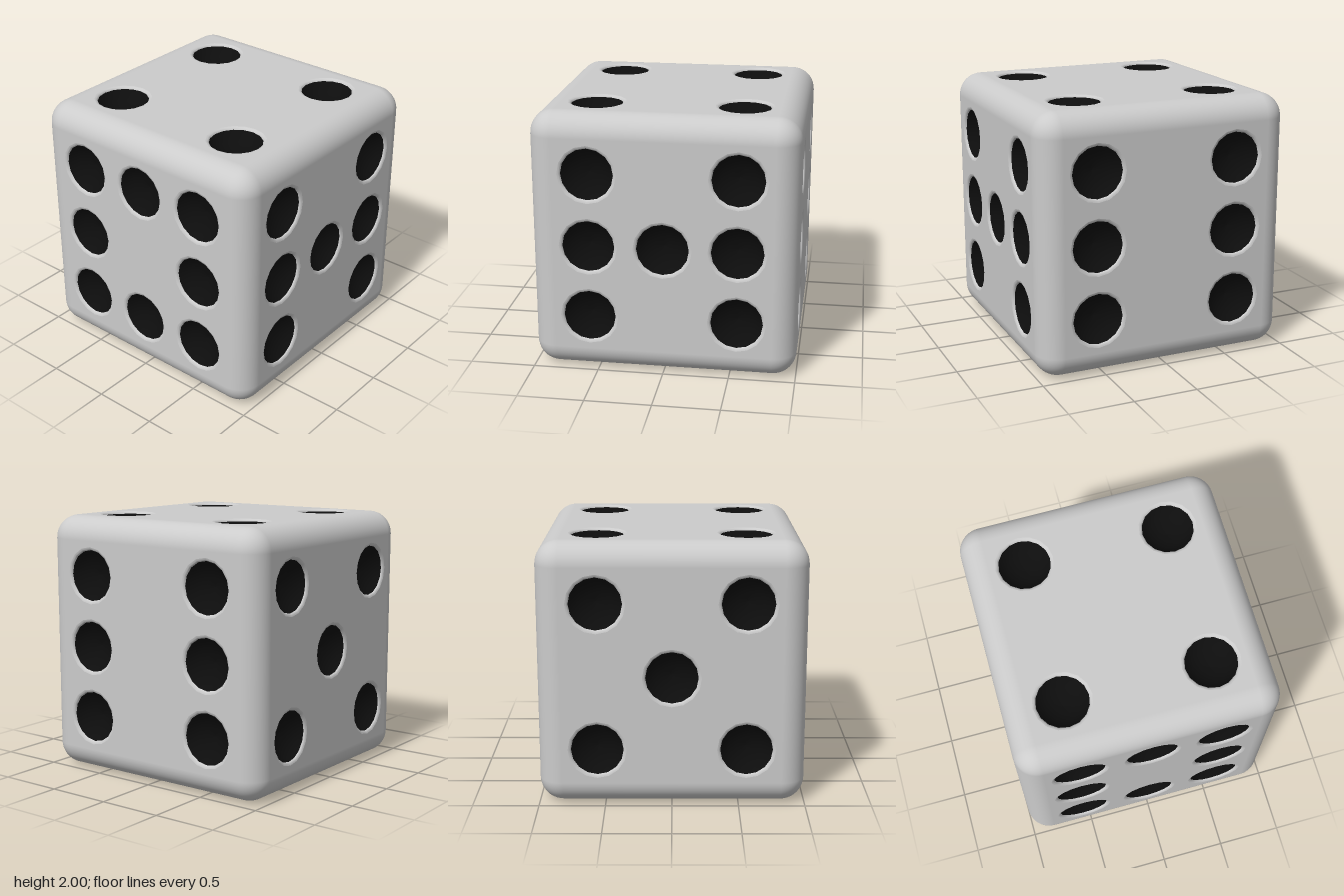
import * as THREE from 'three';
import { RoundedBoxGeometry } from 'three/addons/geometries/RoundedBoxGeometry.js';

const BEVEL = 0.18;     // rounding of the cube's edges
const STEP = 0.555;     // spacing of the pips
const LIP = 0.22;       // outer radius of a pip's soft rim
const PIP = 0.196;      // radius of the dark dish
const SIDES = 16;

const grey = new THREE.MeshStandardMaterial({ color: 0xcccccc });
const black = new THREE.MeshStandardMaterial({ color: 0x0d0d0d });

function add(parent, name, geometry, material) {
  const mesh = new THREE.Mesh(geometry, material);
  mesh.name = name;
  parent.add(mesh);
  return mesh;
}

// Rounded edges and corners only: the six flat squares are left out
function roundedFrame() {
  const source = new RoundedBoxGeometry(2, 2, 2, 6, BEVEL);
  const box = source.index ? source.toNonIndexed() : source;
  const p = box.attributes.position, n = box.attributes.normal;
  const positions = [], normals = [];
  for (let i = 0; i < p.count; i += 3) {
    const flat = [0, 1, 2].some(axis => [-1, 1].some(side =>
      [0, 1, 2].every(k => Math.abs(p.getComponent(i + k, axis) - side) < 1e-5)));
    if (flat) continue;
    for (let k = i; k < i + 3; k++) {
      positions.push(p.getX(k), p.getY(k), p.getZ(k));
      normals.push(n.getX(k), n.getY(k), n.getZ(k));
    }
  }
  const frame = new THREE.BufferGeometry();
  frame.setAttribute('position', new THREE.Float32BufferAttribute(positions, 3));
  frame.setAttribute('normal', new THREE.Float32BufferAttribute(normals, 3));
  return frame;
}

// Flat square with a round hole at every pip
function facePanel(pips) {
  const h = 1 - BEVEL;
  const shape = new THREE.Shape([[-h, -h], [h, -h], [h, h], [-h, h]].map(c => new THREE.Vector2(...c)));
  for (const [x, y] of pips) {
    shape.holes.push(new THREE.Path().absarc(x, y, LIP, 0, Math.PI * 2, true));
  }
  return new THREE.ShapeGeometry(shape, SIDES / 2);
}

// Revolved profile, running from the outside inwards, opening towards +z
function dished(profile) {
  const points = profile.map(([r, d]) => new THREE.Vector2(r, d));
  return new THREE.LatheGeometry(points, SIDES).rotateX(Math.PI / 2);
}

export function createModel() {
  const model = new THREE.Group();
  model.name = 'die';
  const cube = new THREE.Group();
  cube.name = 'cube';
  cube.position.y = 1;
  model.add(cube);

  add(cube, 'roundedEdges', roundedFrame(), grey);

  const lip = dished([[LIP, 0], [0.208, -0.003], [0.2, -0.009], [PIP, -0.018]]);
  const dish = dished([[PIP, -0.018], [0.17, -0.052], [0.13, -0.084], [0.07, -0.11], [0, -0.12]]);

  // Name, turn about x, turn about y, and rows of pips seen from outside
  const q = Math.PI / 2;
  const faces = [
    ['front', 0, 0, ['x.x', 'xxx', 'x.x']],
    ['right', 0, q, ['x.x', 'x.x', 'x.x']],
    ['back', 0, 2 * q, ['x.x', '.x.', 'x.x']],
    ['left', 0, -q, ['xxx', 'x.x', 'xxx']],
    ['top', -q, 0, ['x.x', '...', 'x.x']],
    ['bottom', q, 0, ['xxx', 'xxx', 'xxx']],
  ];

  for (const [name, rx, ry, rows] of faces) {
    const face = new THREE.Group();
    face.name = name + 'Face';
    face.rotation.set(rx, ry, 0);
    cube.add(face);

    const pips = [];
    rows.forEach((row, j) => [...row].forEach((c, i) => {
      if (c === 'x') pips.push([(i - 1) * STEP, (1 - j) * STEP]);
    }));

    add(face, name + 'Panel', facePanel(pips), grey).position.z = 1;
    for (const [x, y] of pips) {
      add(face, 'pipRim', lip, grey).position.set(x, y, 1);
      add(face, 'pip', dish, black).position.set(x, y, 1);
    }
  }
  return model;
}
